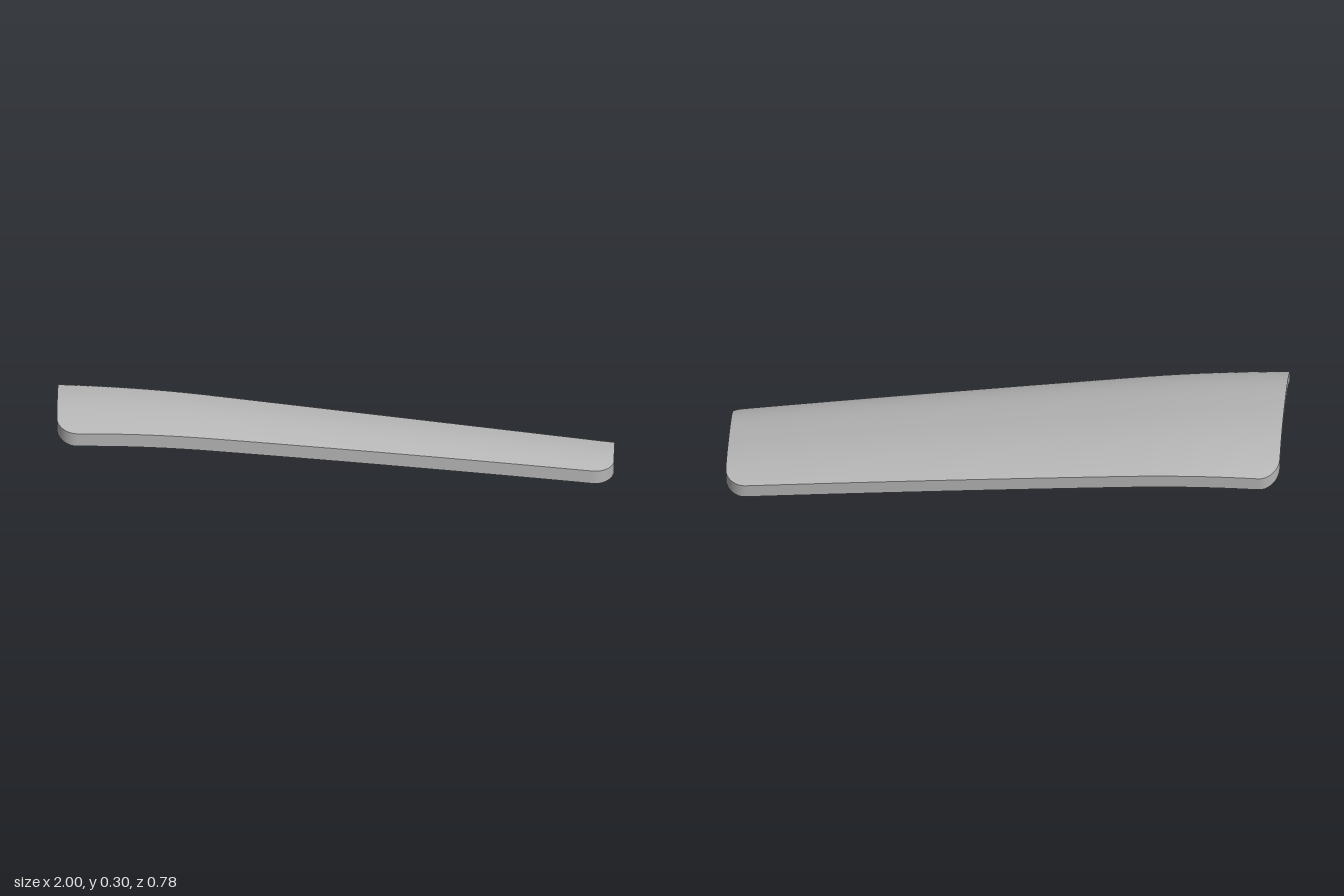
import * as THREE from 'three';

const R = 0.075; // plan radius of the rounded corners

// Straight tapering half width, and the half width after rounding the corners
const taper = (x) => 0.337 - 0.056 * x;
function halfWidth(x) {
  const d = Math.max(0, R - (1 - Math.abs(x)));
  return taper(x) - (R - Math.sqrt(Math.max(0, R * R - d * d)));
}

// Height of the upper surface: sloping crown, levelling at the wide end, arched across
function topY(x, z) {
  const level = Math.max(0, (-x - 0.45) / 0.55);
  const crown = 0.21 - 0.115 * x - 0.025 * level * level;
  const sag = 0.075 - 0.0245 * x + 0.0055 * x * x;
  return crown - sag * Math.pow(Math.abs(z) / taper(x), 2.7);
}
const underY = (x, z) => topY(x, z) - 0.03 - 0.015 * (z / taper(x)) ** 2;

// Grid of points f(i, j); faces look along (j direction) x (i direction)
function sheet(ni, nj, f) {
  const pos = [], index = [];
  for (let i = 0; i <= ni; i++) for (let j = 0; j <= nj; j++) pos.push(...f(i, j));
  for (let i = 0; i < ni; i++) for (let j = 0; j < nj; j++) {
    const a = i * (nj + 1) + j, b = a + nj + 1;
    index.push(a, a + 1, b, b, a + 1, b + 1);
  }
  const g = new THREE.BufferGeometry();
  g.setAttribute('position', new THREE.Float32BufferAttribute(pos, 3));
  g.setIndex(index);
  g.computeVertexNormals();
  return g;
}

export function createModel() {
  const clay = new THREE.MeshStandardMaterial({ color: 0xb4b4b4 });
  clay.name = 'grey clay';
  const group = new THREE.Group();
  group.name = 'roofTile';
  const add = (geometry, name) => {
    const mesh = new THREE.Mesh(geometry, clay);
    mesh.name = name;
    group.add(mesh);
    return mesh;
  };

  // Stations along the length, denser in the rounded ends
  const xs = [];
  for (let i = 0; i < 10; i++) xs.push(-1 + R * (1 - Math.cos((i / 10) * Math.PI / 2)));
  for (let i = 0; i <= 30; i++) xs.push((-1 + R) + (i / 30) * 2 * (1 - R));
  for (let i = 9; i >= 0; i--) xs.push(1 - R * (1 - Math.cos((i / 10) * Math.PI / 2)));
  const n = xs.length - 1, m = 40;

  // Upper and lower curved faces
  add(sheet(n, m, (i, j) => {
    const x = xs[i], z = halfWidth(x) * (2 * j / m - 1);
    return [x, topY(x, z), z];
  }), 'upperFace');
  add(sheet(n, m, (i, j) => {
    const x = xs[i], z = halfWidth(x) * (1 - 2 * j / m);
    return [x, underY(x, z), z];
  }), 'underside');

  // Rim running round the whole outline
  const rim = [];
  for (const x of xs) rim.push([x, halfWidth(x)]);
  for (let j = 1; j < m; j++) rim.push([1, halfWidth(1) * (1 - 2 * j / m)]);
  for (const x of [...xs].reverse()) rim.push([x, -halfWidth(x)]);
  for (let j = 1; j <= m; j++) rim.push([-1, halfWidth(-1) * (2 * j / m - 1)]);
  add(sheet(rim.length - 1, 1, (i, j) => {
    const [x, z] = rim[i];
    return [x, j ? underY(x, z) : topY(x, z), z];
  }), 'rim');

  // Hanging hook under the wide end, with a small lip
  const profile = new THREE.Shape([
    [-0.83, 0.2], [-0.83, 0.27], [-0.915, 0.275], [-0.915, 0.222], [-0.945, 0.222], [-0.945, 0.2],
  ].map(([x, y]) => new THREE.Vector2(x, y)));
  const hook = new THREE.ExtrudeGeometry(profile, { depth: 0.14, bevelEnabled: false });
  add(hook, 'hangingHook').position.z = -0.07;

  return group;
}
